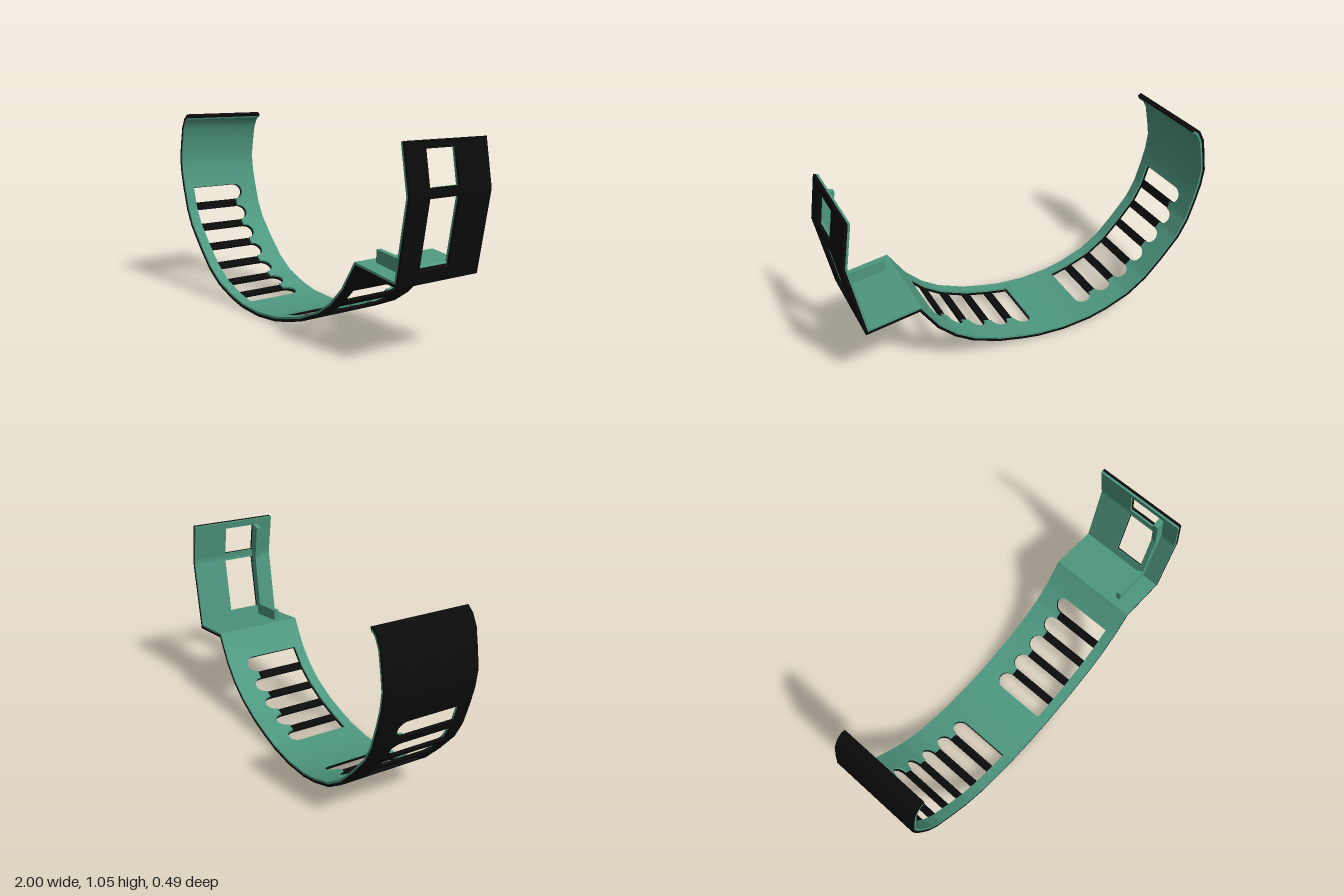
import * as THREE from 'three';
import { toCreasedNormals } from 'three/addons/utils/BufferGeometryUtils.js';

const HALF = 0.246, SPRING = -0.09, SILL = 0.19, RISE = 0.05, BAR = 0.045;

// outer profile of the band, from the curled tip down and round to the window wall
const P = [
  [-0.88, 1.037], [-0.9, 1.047], [-0.935, 1.02], [-0.965, 0.965], [-0.985, 0.87], [-1, 0.78], [-0.99, 0.69],
  [-0.967, 0.6], [-0.93, 0.48], [-0.88, 0.385], [-0.78, 0.268], [-0.68, 0.165], [-0.57, 0.09],
  [-0.43, 0.038], [-0.32, 0.012], [-0.16, 0], [0, 0.012], [0.1, 0.033], [0.23, 0.067],
  [0.38, 0.13], [0.48, 0.197], [0.57, 0.288], [0.655, 0.42], [0.93, 0.38], [1, 0.78], [0.96, 1.012],
].map(([x, y]) => new THREE.Vector2(x, y));

const arc = [0];
for (let i = 1; i < P.length; i++) arc.push(arc[i - 1] + P[i].distanceTo(P[i - 1]));

// inward mitred normals
const normals = P.map((p, i) => {
  const n = (a, b) => { const t = b.clone().sub(a).normalize(); return new THREE.Vector2(-t.y, t.x); };
  const n0 = n(P[Math.max(i - 1, 0)], P[Math.max(i, 1)]);
  const n1 = n(P[Math.min(i, P.length - 2)], P[Math.min(i + 1, P.length - 1)]);
  const m = n0.clone().add(n1).normalize();
  return m.divideScalar(m.dot(n1));
});

// point at arc length s, depth d inwards
function pointAt(s, d, z) {
  let i = 0;
  while (i < P.length - 2 && s > arc[i + 1]) i++;
  const k = (s - arc[i]) / (arc[i + 1] - arc[i]);
  const a = P[i].clone().addScaledVector(normals[i], d);
  const b = P[i + 1].clone().addScaledVector(normals[i + 1], d);
  a.lerp(b, k);
  return [a.x, a.y, z];
}

// arc length where the profile reaches a given x or y, from segment i on
function arcAt(axis, v, i = 0) {
  while ((P[i][axis] - v) * (P[i + 1][axis] - v) > 0) i++;
  return arc[i] + (arc[i + 1] - arc[i]) * (v - P[i][axis]) / (P[i + 1][axis] - P[i][axis]);
}

// a row of arched openings; joined gives one opening with a scalloped edge
function arcade(a, b, count, joined) {
  const w = (b - a - BAR * (count - 1)) / count;
  const spans = Array.from({ length: count }, (_, i) => [a + i * (w + BAR), a + i * (w + BAR) + w]);
  const lo = (s) => {
    const span = spans.find(([p, q]) => s >= p && s <= q);
    if (!span) return SPRING;
    const t = (2 * (s - span[0])) / w - 1;
    return SPRING - RISE * Math.sqrt(Math.max(0, 1 - t * t));
  };
  const cuts = spans.flatMap(([p]) =>
    Array.from({ length: 11 }, (_, k) => p + w * (0.5 - 0.5 * Math.cos((Math.PI * k) / 10))));
  if (joined) return [{ a, b, lo, hi: SILL, cuts }];
  return spans.map(([p, q], i) => ({ a: p, b: q, lo, hi: SILL, cuts: cuts.slice(i * 11, i * 11 + 11) }));
}

function openings(joined) {
  const wall = P.length - 3;
  const windows = [[arcAt('y', 0.44, wall), arcAt('y', 0.765, wall)],
    [arcAt('y', 0.81, wall + 1), arcAt('y', 0.975, wall + 1)]];
  return [
    ...arcade(arcAt('y', 0.6, 4), arcAt('x', -0.325, 8), 7, joined),
    ...arcade(arcAt('x', -0.02, 8), arcAt('x', 0.57, 8), 5, joined),
    ...windows.map(([a, b]) => ({ a, b, lo: () => -0.05, hi: 0.13, cuts: [a, b] })),
  ];
}

// one layer of the band between depths d0 and d1
function layer(name, d0, d1, holes, color) {
  const pos = [];
  const quad = (a, b, c, d) => pos.push(...a, ...b, ...c, ...a, ...c, ...d);
  // end wall; dir = 1 faces along the profile, -1 against it
  const cap = (s, z0, z1, dir) => {
    const c = [pointAt(s, d0, z0), pointAt(s, d1, z0), pointAt(s, d1, z1), pointAt(s, d0, z1)];
    quad(...(dir > 0 ? c : c.reverse()));
  };
  const strip = (s0, s1, lo, hi) => {
    const [l0, l1, h0, h1] = [lo(s0), lo(s1), hi(s0), hi(s1)];
    const v = pointAt;
    quad(v(s0, d0, l0), v(s1, d0, l1), v(s1, d0, h1), v(s0, d0, h0));
    quad(v(s0, d1, h0), v(s1, d1, h1), v(s1, d1, l1), v(s0, d1, l0));
    quad(v(s0, d0, h0), v(s1, d0, h1), v(s1, d1, h1), v(s0, d1, h0));
    quad(v(s0, d1, l0), v(s1, d1, l1), v(s1, d0, l1), v(s0, d0, l0));
  };
  const cuts = [...arc, ...holes.flatMap((h) => h.cuts)].sort((x, y) => x - y)
    .filter((s, i, all) => i === 0 || s - all[i - 1] > 1e-6);
  const back = () => -HALF, front = () => HALF;
  for (let i = 0; i < cuts.length - 1; i++) {
    const s0 = cuts[i], s1 = cuts[i + 1], mid = (s0 + s1) / 2;
    const hole = holes.find((h) => mid > h.a && mid < h.b);
    if (hole) {
      strip(s0, s1, back, hole.lo);
      strip(s0, s1, () => hole.hi, front);
    } else strip(s0, s1, back, front);
  }
  for (const h of holes) {
    cap(h.a, h.lo(h.a), h.hi, 1);
    cap(h.b, h.lo(h.b), h.hi, -1);
  }
  cap(0, -HALF, HALF, -1);
  cap(arc[arc.length - 1], -HALF, HALF, 1);
  const geo = new THREE.BufferGeometry();
  geo.setAttribute('position', new THREE.Float32BufferAttribute(pos, 3));
  const mesh = new THREE.Mesh(toCreasedNormals(geo, 0.45), new THREE.MeshStandardMaterial({ color }));
  mesh.name = name;
  return mesh;
}

export function createModel() {
  const group = new THREE.Group();
  group.name = 'archedBand';
  const black = 0x0b0b0b, green = 0x4e9880;
  group.add(layer('outerShell', 0, 0.014, openings(false), black));
  group.add(layer('innerLining', 0.014, 0.025, openings(true), green));

  // thin angled rib beside the windows
  const outline = [[0.69, 0.43], [0.915, 0.398], [0.978, 0.78], [0.945, 0.972],
    [0.897, 0.96], [0.927, 0.77], [0.885, 0.478], [0.69, 0.502]];
  const rib = new THREE.Mesh(
    new THREE.ExtrudeGeometry(new THREE.Shape(outline.map(([x, y]) => new THREE.Vector2(x, y))),
      { depth: 0.027, bevelEnabled: false }),
    new THREE.MeshStandardMaterial({ color: green }));
  rib.position.z = 0.13;
  rib.name = 'angledRib';
  group.add(rib);
  return group;
}
